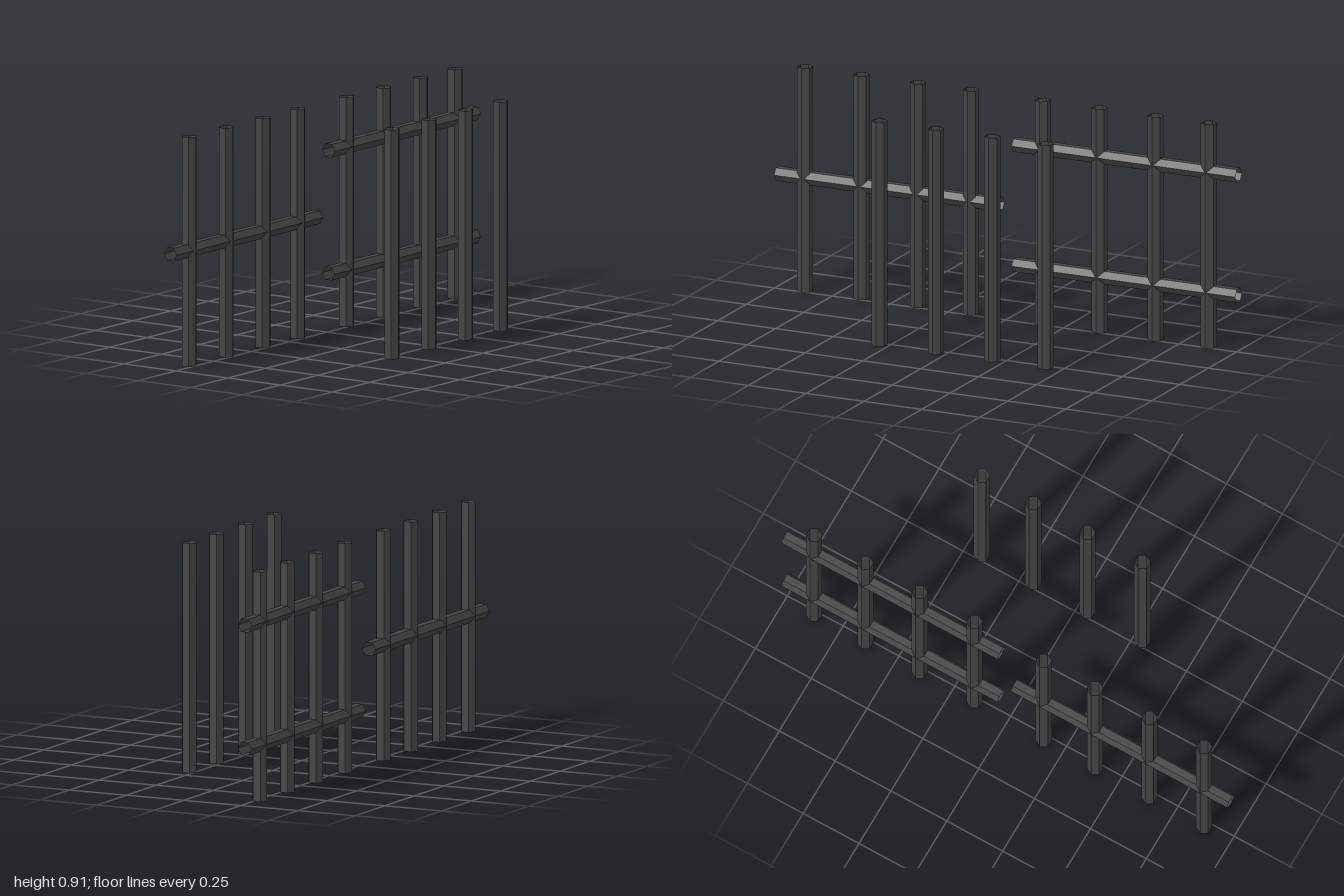
import * as THREE from 'three';

export function createModel() {
  const model = new THREE.Group();
  model.name = 'ironFence';

  const iron = new THREE.MeshStandardMaterial({
    color: 0x444444, flatShading: true, side: THREE.DoubleSide,
  });
  iron.name = 'dark iron';

  const height = 0.907;

  // Open hexagonal tube with its corners pointing along x
  const hexTube = (radius, length) =>
    new THREE.CylinderGeometry(radius, radius, length, 6, 1, true).rotateY(Math.PI / 2);

  const postGeometry = hexTube(0.0315, height).translate(0, height / 2, 0);
  const railGeometry = hexTube(0.03, 0.968).rotateX(Math.PI / 2);

  // Posts step backwards from the first one; rails run along z
  const postSteps = [0, 0.245, 0.488, 0.718];
  function addSection(name, postX, firstZ, railX, railZ, railHeights) {
    const section = new THREE.Group();
    section.name = name;
    for (const step of postSteps) {
      const post = new THREE.Mesh(postGeometry, iron);
      post.name = 'post';
      post.position.set(postX, 0, firstZ - step);
      section.add(post);
    }
    for (const y of railHeights) {
      const rail = new THREE.Mesh(railGeometry, iron);
      rail.name = 'rail';
      rail.position.set(railX, y, railZ);
      section.add(rail);
    }
    model.add(section);
  }

  addSection('frontRightSection', -0.2735, 0.879, -0.276, 0.516, [0.458]);
  addSection('backRightSection', -0.267, -0.153, -0.267, -0.516, [0.711, 0.225]);
  // Free-standing posts without rails
  addSection('leftPosts', 0.2715, 0.29, 0, 0, []);

  return model;
}
